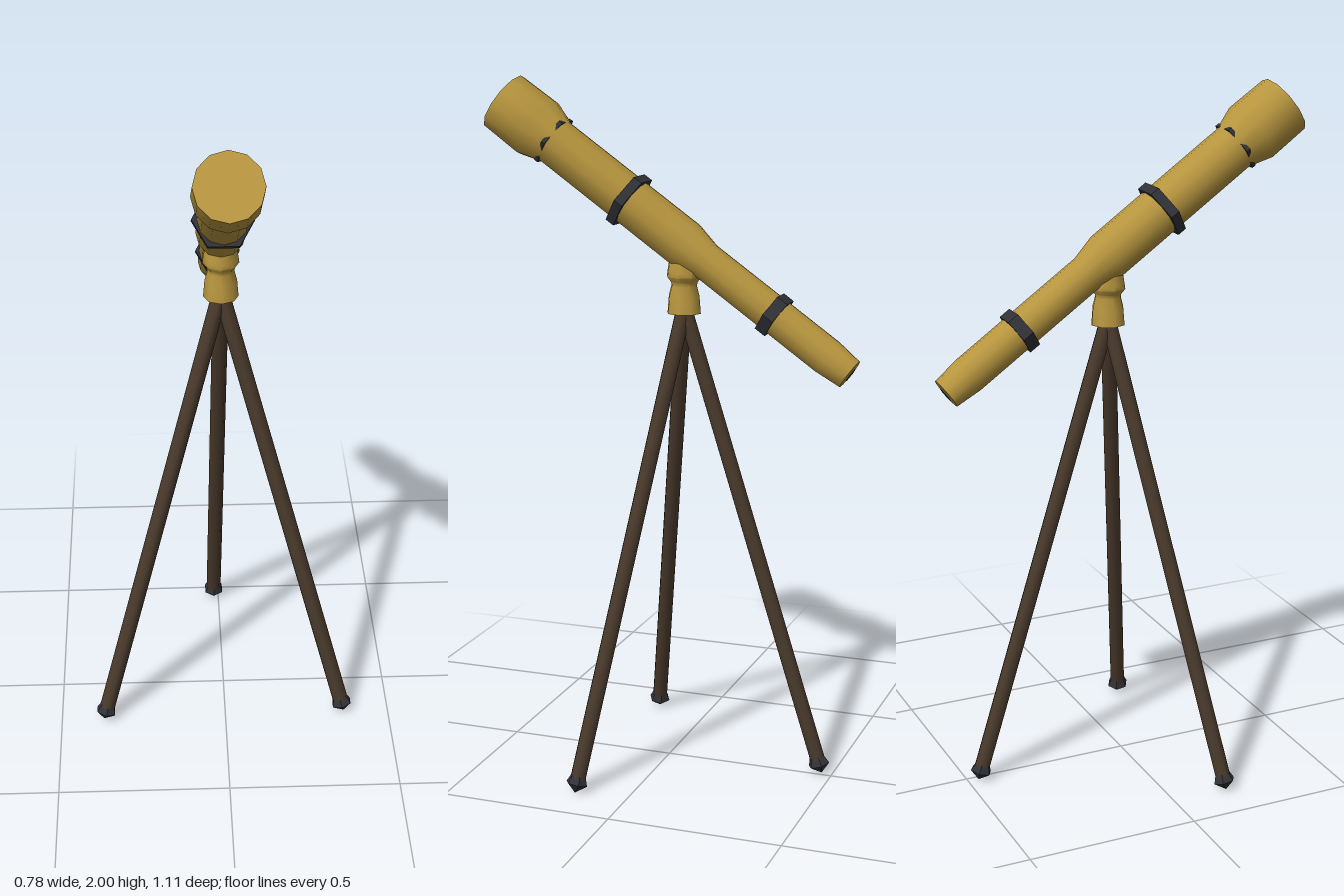
import * as THREE from 'three';
import { toCreasedNormals } from 'three/addons/utils/BufferGeometryUtils.js';

export function createModel() {
  const model = new THREE.Group();
  model.name = 'telescope';
  const material = (name, color) => {
    const m = new THREE.MeshStandardMaterial({ color });
    m.name = name;
    return m;
  };
  const brass = material('brass', 0xb8963f);
  const wood = material('dark wood', 0x4a3a2c);
  const iron = material('dark iron', 0x313237);

  const add = (parent, name, geometry, mat) => {
    const mesh = new THREE.Mesh(geometry, mat);
    mesh.name = name;
    parent.add(mesh);
    return mesh;
  };
  // Turned part: profile of [radius, height] from bottom to top
  const turned = (profile, sides, crease = 0.8) => toCreasedNormals(
    new THREE.LatheGeometry(profile.map(([r, y]) => new THREE.Vector2(r, y)), sides), crease);

  // Optical tube, built along y and tilted up towards the front
  const tube = new THREE.Group();
  tube.name = 'opticalTube';
  tube.position.set(-0.006, 1.2, -0.53);
  tube.rotation.x = 0.959;
  model.add(tube);
  add(tube, 'tubeBody', turned([
    [0, 0], [0.046, 0], [0.054, 0.08], [0.054, 0.52], [0.07, 0.595],
    [0.07, 1.07], [0.093, 1.14], [0.091, 1.265], [0, 1.265],
  ], 12), brass);
  const lens = add(tube, 'eyepieceLens', new THREE.CircleGeometry(0.026, 6), iron);
  lens.rotation.x = Math.PI / 2;
  lens.position.y = -0.003;

  // Angular clamping bands whose corners stand proud of the tube
  const band = (name, y, r, h, sides) => {
    const ring = turned([
      [r * 0.8, -h / 2], [r, -h / 2], [r, h / 2], [r * 0.8, h / 2],
    ], sides, 0.3);
    add(tube, name, ring, iron).position.y = y;
    return ring;
  };
  band('rearBand', 0.27, 0.065, 0.035, 6).rotateY(Math.PI / 6);
  band('middleBand', 0.8, 0.086, 0.028, 6).rotateY(Math.PI / 6);
  band('frontBand', 1.08, 0.079, 0.012, 6).rotateY(Math.PI / 6);

  // Waisted mount under the tube
  const mount = add(model, 'mount', turned([
    [0, 0], [0.05, 0], [0.046, 0.05], [0.038, 0.08], [0.04, 0.09],
    [0.052, 0.105], [0.05, 0.12], [0.045, 0.15], [0, 0.15],
  ], 8), brass);
  mount.position.set(-0.006, 1.345, -0.042);

  // Three splayed legs with pointed feet
  const up = new THREE.Vector3(0, 1, 0);
  const top = new THREE.Vector3(-0.006, 1.36, -0.042);
  const feet = { rightLeg: [-0.365, 0.165], leftLeg: [0.358, 0.152], rearLeg: [-0.015, -0.46] };
  for (const [name, [x, z]] of Object.entries(feet)) {
    const end = new THREE.Vector3(x, 0.03, z);
    const dir = top.clone().sub(end);
    const leg = new THREE.Group();
    leg.name = name;
    leg.position.copy(end);
    leg.quaternion.setFromUnitVectors(up, dir.clone().normalize());
    model.add(leg);
    const length = dir.length();
    add(leg, 'legPole', new THREE.CylinderGeometry(0.023, 0.023, length, 8), wood).position.y = length / 2;
    add(leg, 'legFoot', turned([[0, -0.026], [0.032, 0], [0.021, 0.027], [0, 0.027]], 6, 0.3), iron);
  }
  return model;
}
